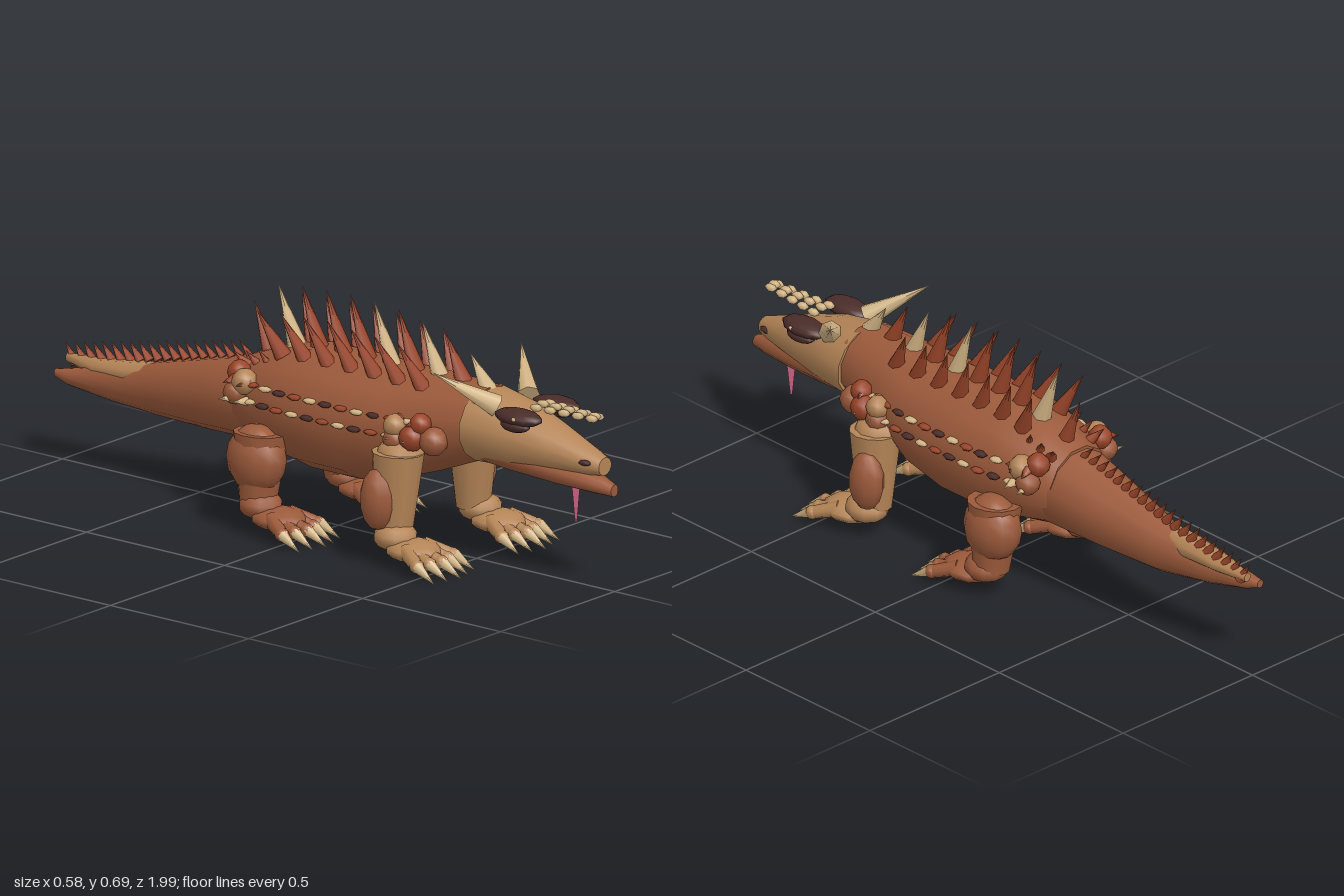
import * as THREE from 'three';

const mat = (name, color) => Object.assign(new THREE.MeshStandardMaterial({ color }), { name });
const M = {
  hide: mat('brown hide', 0x9c5a3b),
  tan: mat('tan hide', 0xb58557),
  horn: mat('pale horn', 0xd3b585),
  rust: mat('rust spikes', 0x9a4529),
  dark: mat('dark brown', 0x4a2c29),
  tongue: mat('pink tongue', 0xc4607f),
};
M.tongue.side = THREE.DoubleSide;

// Smooth tube along z; sections run front to back as [z, cx, cy, rx, ry]
function loft(sections, sides = 12) {
  const pos = [], idx = [];
  const ring = ([z, cx, cy, rx, ry]) => {
    const start = pos.length / 3;
    for (let j = 0; j < sides; j++) {
      const a = ((j + 0.5) / sides) * Math.PI * 2;
      pos.push(cx + rx * Math.cos(a), cy + ry * Math.sin(a), z);
    }
    return start;
  };
  const rings = sections.map(ring);
  for (let i = 0; i + 1 < rings.length; i++) {
    for (let j = 0; j < sides; j++) {
      const k = (j + 1) % sides;
      const a = rings[i] + j, b = rings[i] + k, c = rings[i + 1] + j, d = rings[i + 1] + k;
      idx.push(a, c, b, b, c, d);
    }
  }
  // separate cap vertices keep the end edges crisp
  const front = ring(sections[0]), back = ring(sections[sections.length - 1]);
  for (let j = 1; j + 1 < sides; j++) {
    idx.push(front, front + j, front + j + 1, back, back + j + 1, back + j);
  }
  const g = new THREE.BufferGeometry();
  g.setAttribute('position', new THREE.Float32BufferAttribute(pos, 3));
  g.setIndex(idx);
  g.computeVertexNormals();
  return g;
}

export function createModel() {
  const root = new THREE.Group();
  root.name = 'spikyLizard';

  const add = (name, geo, material, parent = root) => {
    const m = new THREE.Mesh(geo, material);
    m.name = name;
    parent.add(m);
    return m;
  };
  const blob = (name, material, p, r, parent = root, w = 10, h = 7) => {
    const m = add(name, new THREE.SphereGeometry(1, w, h), material, parent);
    m.position.set(...p);
    m.scale.set(...r);
    return m;
  };
  // Cone or tapered limb from point a to point b
  const limb = (name, material, a, b, ra, rb, parent = root, sides = 8) => {
    const A = new THREE.Vector3(...a), B = new THREE.Vector3(...b);
    const dir = B.clone().sub(A);
    const m = add(name, new THREE.CylinderGeometry(rb, ra, dir.length(), sides), material, parent);
    m.position.copy(A).add(B).multiplyScalar(0.5);
    m.quaternion.setFromUnitVectors(new THREE.Vector3(0, 1, 0), dir.normalize());
    return m;
  };
  const spike = (name, material, a, b, r, parent) => limb(name, material, a, b, r, 0, parent, 7);

  // Trunk and neck
  add('body', loft([
    [0.56, 0, 0.415, 0.115, 0.105], [0.40, 0, 0.385, 0.14, 0.14], [0.27, 0, 0.36, 0.175, 0.16],
    [0.12, 0, 0.345, 0.185, 0.178], [-0.06, 0, 0.345, 0.183, 0.178],
    [-0.20, 0, 0.345, 0.16, 0.15], [-0.30, 0, 0.335, 0.115, 0.12],
  ]), M.hide);

  // Tail, with a pale ridge and a sideways tip
  add('tail', loft([
    [-0.22, 0, 0.335, 0.13, 0.13], [-0.45, 0, 0.305, 0.095, 0.105], [-0.65, 0, 0.28, 0.06, 0.078],
    [-0.82, -0.02, 0.268, 0.038, 0.048], [-0.94, -0.04, 0.266, 0.025, 0.024], [-0.985, -0.045, 0.27, 0.012, 0.012],
  ]), M.hide);
  add('tailRidge', loft([
    [-0.60, 0, 0.33, 0.02, 0.03], [-0.74, -0.01, 0.31, 0.045, 0.036],
    [-0.86, -0.012, 0.302, 0.035, 0.026], [-0.98, 0, 0.305, 0.012, 0.014],
  ], 8), M.tan);

  // Head
  add('head', loft([
    [0.965, 0, 0.362, 0.028, 0.026], [0.92, 0, 0.368, 0.045, 0.038], [0.80, 0, 0.385, 0.075, 0.068],
    [0.68, 0, 0.40, 0.105, 0.095], [0.54, 0, 0.41, 0.128, 0.11],
  ], 14), M.tan);
  add('lowerJaw', loft([
    [1.0, 0, 0.298, 0.016, 0.018], [0.94, 0, 0.308, 0.035, 0.028], [0.82, 0, 0.325, 0.06, 0.042],
    [0.66, 0, 0.345, 0.085, 0.05], [0.55, 0, 0.36, 0.10, 0.05],
  ]), M.hide);
  const tongue = new THREE.Shape([
    new THREE.Vector2(-0.018, 0.285), new THREE.Vector2(-0.004, 0.18),
    new THREE.Vector2(0.004, 0.18), new THREE.Vector2(0.018, 0.285),
  ]);
  add('tongue', new THREE.ShapeGeometry(tongue), M.tongue).position.z = 0.86;

  // Rows of pale scales above the snout
  for (let i = 0; i < 5; i++) {
    const z = 0.74 + i * 0.047, half = 0.03 - i * 0.004;
    for (const k of [-1, 0, 1]) {
      blob('snoutScale', M.horn, [k * half, 0.502 - Math.abs(k) * 0.005, z], [0.015, 0.011, 0.02], root, 6, 4);
    }
  }

  // Crest along the spine
  const tips = [0.60, 0.64, 0.66, 0.68, 0.685, 0.69, 0.685, 0.68, 0.67, 0.605];
  const pale = [0, 2, 4, 8];
  tips.forEach((y, i) => {
    const z = 0.545 - i * 0.087;
    spike('spineSpike', pale.includes(i) ? M.horn : M.rust,
      [0, i === 9 ? 0.44 : 0.5, z], [0, y, z - 0.068], 0.028);
  });

  // Tail spikes shrink in spacing with the tail
  for (let i = 0; i < 20; i++) {
    const t = i / 19, z = -0.32 - t * 0.63;
    const y = 0.445 - t * 0.145;
    spike('tailSpike', M.rust, [0, y - 0.01, z], [0, y + 0.032 + t * 0.018, z - 0.04], 0.011 + t * 0.006);
  }

  for (const s of [1, -1]) {
    const side = new THREE.Group();
    side.name = s > 0 ? 'leftSide' : 'rightSide';
    root.add(side);

    // Eyes, nostrils and horns
    blob('eye', M.dark, [s * 0.083, 0.478, 0.72], [0.045, 0.024, 0.08], side);
    blob('eyelid', M.dark, [s * 0.098, 0.458, 0.72], [0.028, 0.02, 0.05], side);
    blob('eyeGlint', M.horn, [s * 0.122, 0.482, 0.735], [0.006, 0.006, 0.008], side, 6, 4);
    blob('nostril', M.dark, [s * 0.038, 0.374, 0.92], [0.012, 0.009, 0.025], side, 8, 5);
    spike('horn', M.horn, [s * 0.07, 0.49, 0.63], [s * 0.195, 0.592, 0.5], 0.033, side);

    // Flanking back spikes
    for (let i = 0; i < 7; i++) {
      const z = 0.365 - i * 0.085;
      spike('backSpike', M.rust, [s * 0.068, 0.485, z], [s * 0.1, 0.635 - Math.abs(i - 3) * 0.006, z - 0.07], 0.026, side);
    }
    for (let i = 0; i < 3; i++) {
      const z = -0.17 - i * 0.045;
      spike('hipSpike', M.rust, [s * 0.07, 0.43, z], [s * 0.1, 0.5 - i * 0.01, z - 0.04], 0.02, side);
    }

    // Flank scales in two rows
    const scaleMats = [M.horn, M.rust, M.dark];
    for (let row = 0; row < 2; row++) {
      for (let i = 0; i < 11; i++) {
        const z = 0.37 - i * 0.056;
        const bulge = z > 0.2 ? (z - 0.2) * 0.13 : z < -0.1 ? (-0.1 - z) * 0.2 : 0;
        blob('flankScale', scaleMats[(i + row * 2) % 3],
          [s * ((row ? 0.18 : 0.168) - bulge), row ? 0.365 : 0.412, z], [0.016, 0.008, 0.024], side, 6, 4);
      }
    }

    // Shoulder and hip knobs with small sideways thorns
    [[0.14, 0.37, 0.46, 0.042, 'hide'], [0.16, 0.375, 0.40, 0.04, 'rust'], [0.15, 0.415, 0.42, 0.032, 'rust'],
      [0.165, 0.40, 0.34, 0.034, 'tan'], [0.165, 0.36, 0.34, 0.035, 'hide'],
      [0.145, 0.415, -0.22, 0.038, 'tan'], [0.15, 0.38, -0.25, 0.036, 'hide'], [0.12, 0.43, -0.26, 0.035, 'rust'],
    ].forEach(([x, y, z, r, m]) => blob('knob', M[m], [s * x, y, z], [r, r, r], side, 8, 6));
    for (const z of [0.41, 0.35, -0.2, -0.25]) {
      spike('sideThorn', M.horn, [s * 0.16, 0.365, z], [s * 0.21, 0.37, z - 0.015], 0.014, side);
      spike('sideThorn', M.rust, [s * 0.15, 0.42, z], [s * 0.19, 0.412, z - 0.015], 0.016, side);
    }

    // Front leg
    limb('frontLeg', M.tan, [s * 0.172, 0.09, 0.345], [s * 0.163, 0.325, 0.35], 0.05, 0.075, side, 12);
    blob('frontLegTop', M.tan, [s * 0.15, 0.32, 0.35], [0.07, 0.04, 0.07], side);
    blob('frontElbow', M.hide, [s * 0.222, 0.195, 0.325], [0.048, 0.09, 0.055], side);

    // Hind leg
    limb('hindLeg', M.hide, [s * 0.185, 0.08, -0.14], [s * 0.17, 0.29, -0.14], 0.052, 0.08, side, 12);
    blob('thigh', M.hide, [s * 0.185, 0.215, -0.145], [0.075, 0.1, 0.092], side, 12, 8);

    // Feet: paw, toes and claws
    const foot = (name, material, cx, z) => {
      const g = new THREE.Group();
      g.name = name;
      side.add(g);
      blob('ankle', material, [s * cx, 0.085, z], [0.062, 0.042, 0.065], g);
      blob('paw', material, [s * cx, 0.058, z + 0.065], [0.074, 0.032, 0.085], g);
      for (let i = -2; i <= 2; i++) {
        const x = s * cx + i * 0.033, tipX = s * cx + i * 0.045;
        const zf = z + 0.165 - Math.abs(i) * 0.012;
        limb('toe', material, [x * 0.6 + s * cx * 0.4, 0.065, z + 0.07], [s * cx + i * 0.039, 0.042, zf], 0.024, 0.018, g);
        blob('toeTip', material, [s * cx + i * 0.039, 0.042, zf], [0.02, 0.02, 0.022], g, 8, 6);
        spike('claw', M.horn, [s * cx + i * 0.04, 0.042, zf + 0.005], [tipX, 0.004, zf + 0.075], 0.018, g);
      }
    };
    foot('frontFoot', M.tan, 0.186, 0.36);
    foot('hindFoot', M.hide, 0.19, -0.125);
  }
  return root;
}
